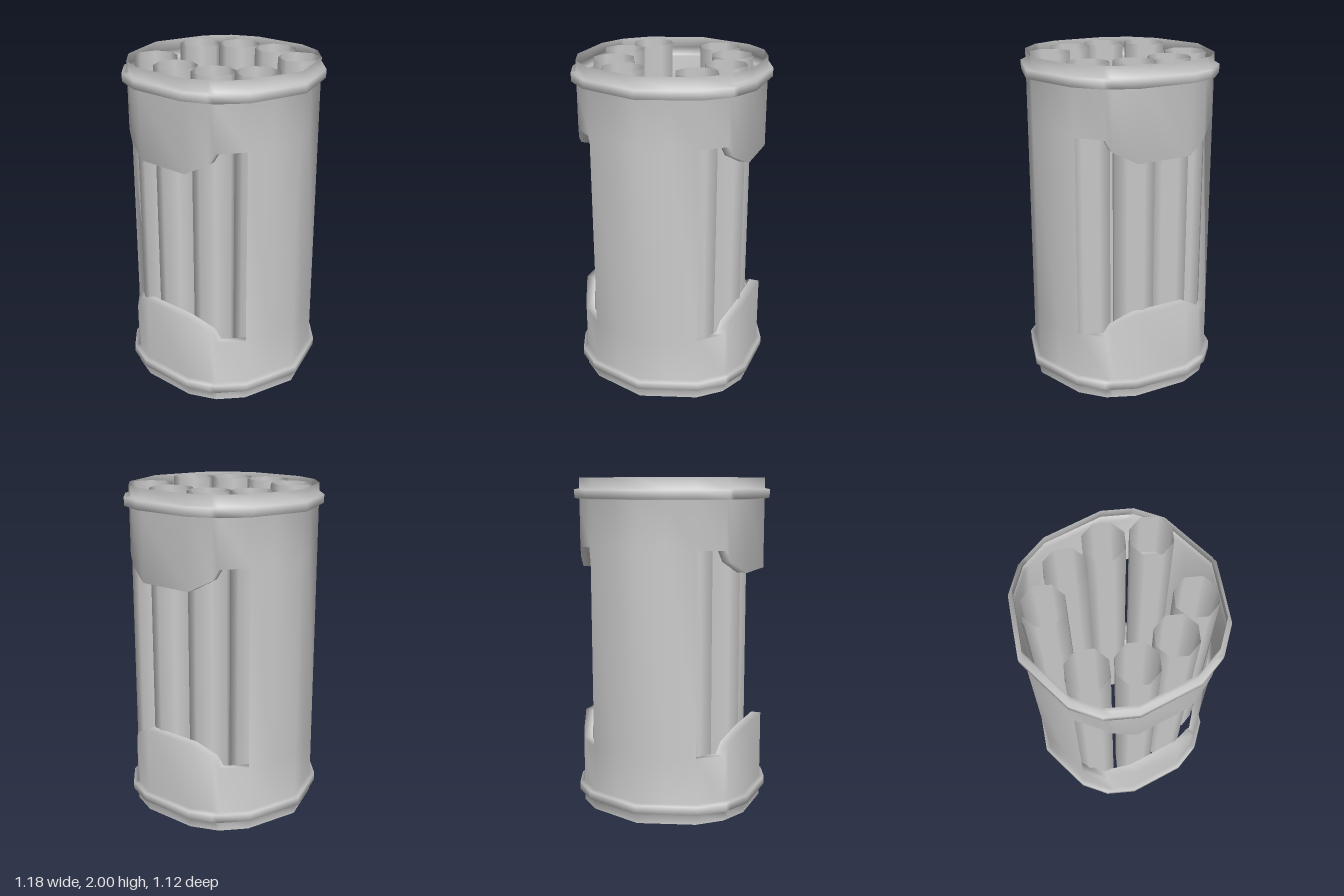
import * as THREE from 'three';
import { mergeVertices } from 'three/addons/utils/BufferGeometryUtils.js';

// Quarter outline of the casing, [x, z, height of the window sill]
const quarter = [
  [0.56, 0, 0.4], [0.507, 0.165, 0.4], [0.455, 0.33, 0.4],
  [0.335, 0.46, 0.405], [0.3, 0.475, 0.47], [0.17, 0.53, 0.54],
];
// Inner edge of the window frame, [x, z, sill height]
const innerQuarter = [
  [0.44, 0.27, 0.4], [0.325, 0.405, 0.405], [0.29, 0.42, 0.47], [0.17, 0.47, 0.54],
];

const mirrorX = (pts) => pts.map(([x, z, h]) => [-x, z, h]).reverse();
const turn = (pts) => pts.map(([x, z, h]) => [-x, -z, h]);
const half = [...quarter, ...mirrorX(quarter).slice(0, -1)];
const outline = [...half, ...turn(half)];
const windowOuter = [...quarter.slice(2), ...mirrorX(quarter.slice(2))];
const windowInner = [...innerQuarter, ...mirrorX(innerQuarter)];

// Joins rows of points into quads
function loft(rows, closed) {
  const pos = [];
  for (let i = 0; i < rows.length - 1; i++) {
    const n = rows[i].length;
    for (let j = 0; j < (closed ? n : n - 1); j++) {
      const k = (j + 1) % n;
      const a = rows[i][j], b = rows[i + 1][j], c = rows[i + 1][k], d = rows[i][k];
      pos.push(...a, ...b, ...c, ...a, ...c, ...d);
    }
  }
  return pos;
}

const atY = (pts, y) => pts.map(([x, z]) => [x, y, z]);
const atSill = (pts, top) => pts.map(([x, z, h]) => [x, top ? 2 - h : h, z]);

// Outline pushed outward by a distance
function offset(d, y) {
  return outline.map(([x, z]) => {
    const l = Math.hypot(x, z);
    return [x + (x / l) * d, y, z + (z / l) * d];
  });
}

function smoothMesh(name, pos, material) {
  let g = new THREE.BufferGeometry();
  g.setAttribute('position', new THREE.Float32BufferAttribute(pos, 3));
  g = mergeVertices(g, 1e-4);
  g.computeVertexNormals();
  const mesh = new THREE.Mesh(g, material);
  mesh.name = name;
  return mesh;
}

export function createModel() {
  const group = new THREE.Group();
  group.name = 'tubeCanister';
  const material = new THREE.MeshStandardMaterial({ color: 0xcccccc, side: THREE.DoubleSide });
  const shell = [];

  // Lower and upper casing, each with a raised band near its open end
  const rim = [[0, 0], [0, 0.062], [0.03, 0.068], [0.03, 0.118], [0, 0.124]];
  const lower = rim.map(([d, y]) => offset(d, y));
  const upper = rim.map(([d, y]) => offset(d, 2 - y)).reverse();
  shell.push(...loft([...lower, atSill(outline, false)], true));
  shell.push(...loft([atSill(outline, true), ...upper], true));

  // Side walls with window jambs
  const wall = [...quarter.slice(0, 3), innerQuarter[0]];
  const fullWall = [...wall.slice(1).map(([x, z]) => [x, -z]).reverse(), ...wall];

  // Window sills, headers and side walls, repeated by a half turn
  for (const f of [(p) => p, turn]) {
    const o = f(windowOuter), i = f(windowInner), w = f(fullWall);
    shell.push(...loft([atSill(o, false), atSill(i, false)], false));
    shell.push(...loft([atSill(i, true), atSill(o, true)], false));
    shell.push(...loft([atY(w, 0.4), atY(w, 1.6)], false));
  }
  group.add(smoothMesh('casing', shell, material));

  // Ring of open tubes
  const tube = new THREE.CylinderGeometry(0.125, 0.125, 1.99, 8, 1, true);
  const tubes = new THREE.Group();
  tubes.name = 'tubes';
  const front = [[0.373, 0.153], [0.177, 0.293], [-0.073, 0.333], [-0.315, 0.245]];
  const back = front.map(([x, z]) => [0.025 - x, -0.025 - z]);
  for (const [x, z] of [...front, ...back]) {
    const mesh = new THREE.Mesh(tube, material);
    mesh.name = 'tube';
    mesh.position.set(x, 1, z);
    tubes.add(mesh);
  }
  group.add(tubes);
  return group;
}
